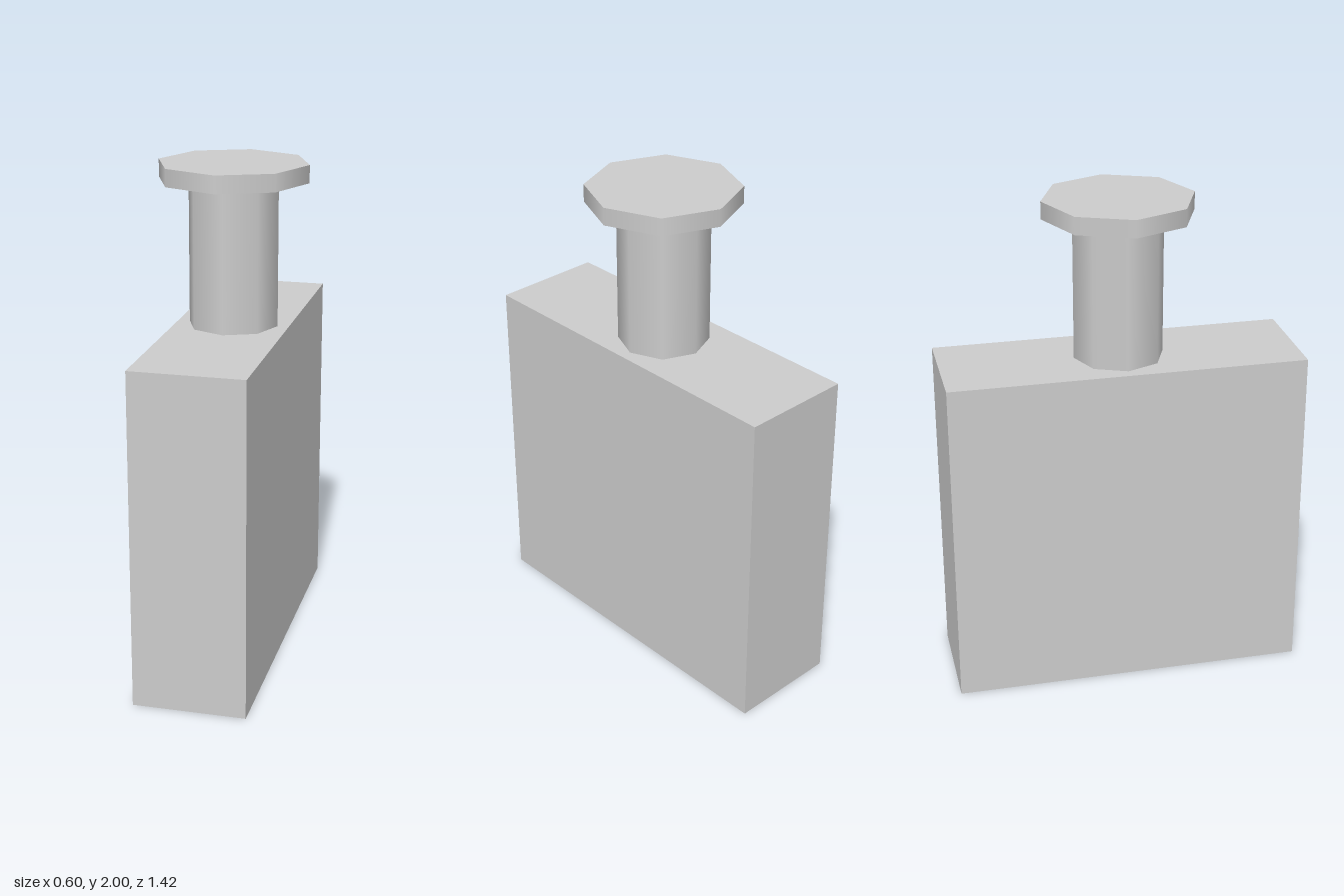
import * as THREE from 'three';

export function createModel() {
  const group = new THREE.Group();
  const gray = new THREE.MeshStandardMaterial({ color: 0xcccccc });
  gray.name = 'light gray';

  const bodyHeight = 1.355;
  const capBottom = 1.93;
  const top = 2;

  function addPart(name, geometry, bottom, height) {
    const mesh = new THREE.Mesh(geometry, gray);
    mesh.name = name;
    mesh.position.y = bottom + height / 2;
    group.add(mesh);
  }

  // Smooth-shaded eight-sided drum
  function addDrum(name, radius, bottom, end) {
    const height = end - bottom;
    addPart(name, new THREE.CylinderGeometry(radius, radius, height, 8), bottom, height);
  }

  // Slab-shaped body
  addPart('body', new THREE.BoxGeometry(0.45, bodyHeight, 1.425), 0, bodyHeight);

  // Stem and its wider cap
  addDrum('stem', 0.18, bodyHeight, capBottom);
  addDrum('cap', 0.3, capBottom, top);

  return group;
}
